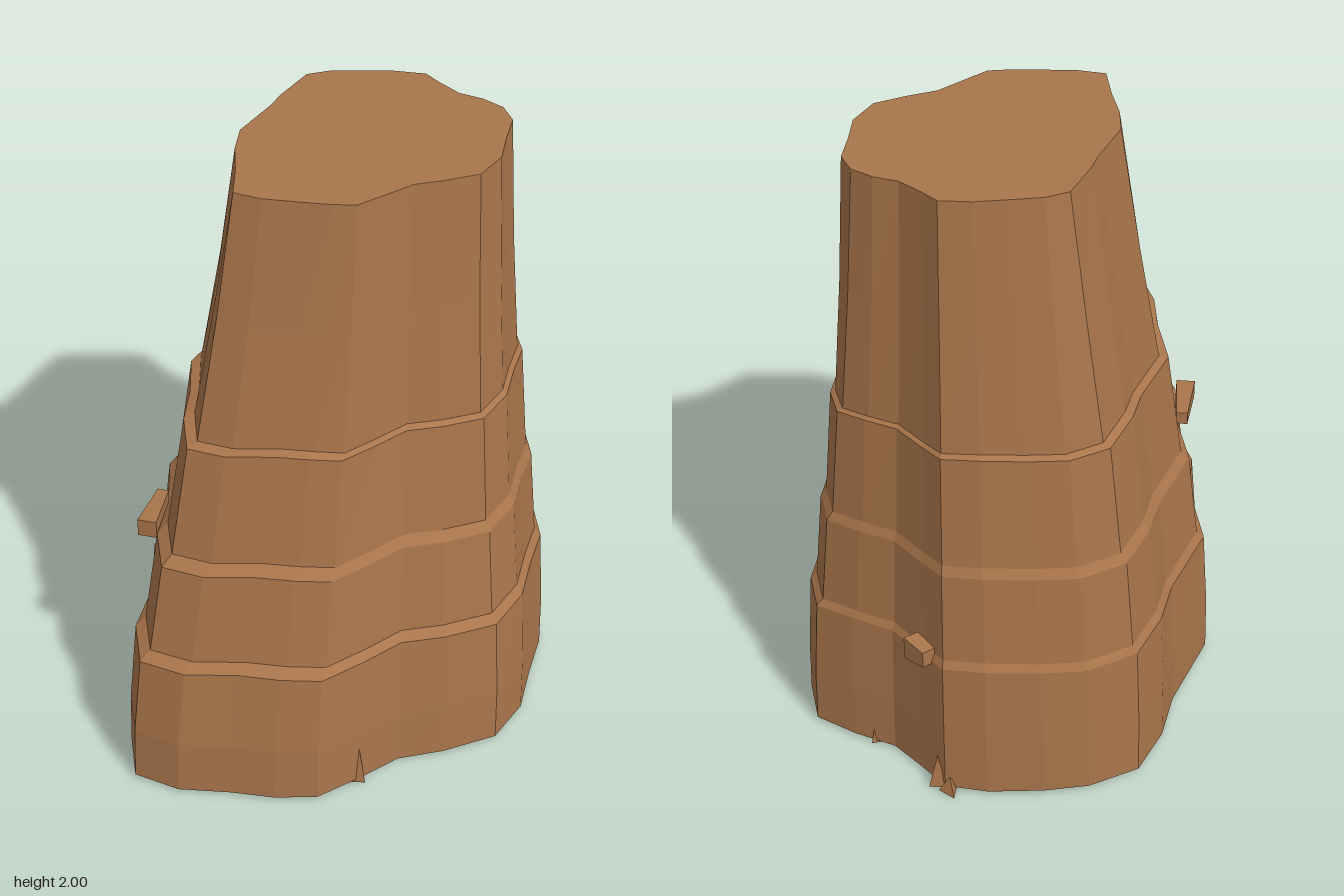
import * as THREE from 'three';

// Matching outlines of the foot and the cut top, as [x, z], counter-clockwise from above
const FOOT = [
  [0.24, -0.635], [0.07, -0.59], [-0.08, -0.51], [-0.36, -0.42], [-0.52, -0.23], [-0.67, -0.125],
  [-0.755, 0.01], [-0.69, 0.15], [-0.57, 0.27], [-0.48, 0.375], [-0.375, 0.46], [-0.22, 0.485],
  [-0.07, 0.5], [0.065, 0.57], [0.24, 0.63], [0.4, 0.585], [0.54, 0.485], [0.67, 0.4],
  [0.755, 0.28], [0.725, 0.135], [0.68, 0], [0.69, -0.14], [0.7, -0.24], [0.63, -0.355],
  [0.51, -0.48], [0.4, -0.57],
];
const CROWN = [
  [0.285, -0.37], [0.15, -0.325], [0.085, -0.295], [-0.075, -0.24], [-0.15, -0.17], [-0.22, -0.08],
  [-0.305, 0.015], [-0.265, 0.09], [-0.18, 0.19], [-0.135, 0.24], [-0.085, 0.285], [0.005, 0.295],
  [0.105, 0.305], [0.185, 0.345], [0.285, 0.385], [0.395, 0.355], [0.475, 0.29], [0.565, 0.225],
  [0.595, 0.155], [0.585, 0.08], [0.555, 0.01], [0.555, -0.08], [0.56, -0.14], [0.5, -0.215],
  [0.425, -0.28], [0.355, -0.34],
];
// [height, blend from foot to crown]; the quick steps are the ledges of the bark layers
const RINGS = [
  [0.01, 0], [0.2, 0.02], [0.48, 0.1], [0.505, 0.19], [0.81, 0.32], [0.84, 0.41],
  [1.205, 0.57], [1.215, 0.655], [1.6, 0.84], [2, 1],
];

export function createModel() {
  const model = new THREE.Group();
  const wood = new THREE.MeshStandardMaterial({ color: 0xa9754b, flatShading: true });
  const n = FOOT.length;

  const add = (name, geometry, parent = model) => {
    const mesh = new THREE.Mesh(geometry, wood);
    mesh.name = name;
    parent.add(mesh);
    return mesh;
  };

  // Tapering trunk lofted through the rings, closed above and below
  const positions = [];
  const indices = [];
  RINGS.forEach(([y, t], r) => {
    FOOT.forEach(([x, z], i) => {
      const k = t + 0.4 * t * (1 - t) * z / 0.63;
      const wave = r > 1 && r < 8 ? 0.006 * Math.sin(i * 1.7) : 0;
      positions.push(
        THREE.MathUtils.lerp(x, CROWN[i][0], k),
        y + wave,
        THREE.MathUtils.lerp(z, CROWN[i][1], k),
      );
    });
  });
  for (let r = 0; r < RINGS.length - 1; r++) {
    for (let i = 0; i < n; i++) {
      const a = r * n + i;
      const b = r * n + (i + 1) % n;
      indices.push(a, b, b + n, a, b + n, a + n);
    }
  }
  const top = (RINGS.length - 1) * n;
  const bottomCentre = positions.length / 3;
  positions.push(0.05, 0.01, 0, 0.2, 2, 0);
  for (let i = 0; i < n; i++) {
    const j = (i + 1) % n;
    indices.push(bottomCentre, j, i, bottomCentre + 1, top + i, top + j);
  }
  const trunk = new THREE.BufferGeometry();
  trunk.setAttribute('position', new THREE.Float32BufferAttribute(positions, 3));
  trunk.setIndex(indices);
  trunk.computeVertexNormals();
  add('trunk', trunk);

  // Splinters standing out at the foot: [x, z, height, width, turn]
  const splinters = new THREE.Group();
  splinters.name = 'splinters';
  model.add(splinters);
  [
    [-0.22, 0.48, 0.145, 0.025, 0.3],
    [0.69, 0.07, 0.11, 0.025, 1.5],
    [0.7, -0.21, 0.12, 0.032, 1.2],
    [0.7, -0.26, 0.06, 0.035, 0.6],
  ].forEach(([x, z, height, width, turn]) => {
    const splinter = add('splinter', new THREE.ConeGeometry(width, height, 3), splinters);
    splinter.position.set(x, height / 2, z);
    splinter.rotation.y = turn;
  });

  // Torn bark chips resting on the ledges: [x, y, z, length, height, depth, turn]
  const chips = new THREE.Group();
  chips.name = 'barkChips';
  model.add(chips);
  [
    [0.68, 0.495, -0.14, 0.08, 0.08, 0.08, 1.35],
    [-0.48, 0.825, -0.19, 0.17, 0.06, 0.06, 0.62],
  ].forEach(([x, y, z, length, height, depth, turn]) => {
    const geometry = new THREE.BoxGeometry(length, height, depth);
    // Pinch one end so the chip is a ragged wedge
    const p = geometry.attributes.position;
    for (let i = 0; i < p.count; i++) {
      if (p.getX(i) > 0) p.setXYZ(i, p.getX(i), p.getY(i) * 0.7, p.getZ(i) * 0.6);
    }
    geometry.computeVertexNormals();
    const chip = add('barkChip', geometry, chips);
    chip.position.set(x, y, z);
    chip.rotation.y = turn;
  });

  return model;
}
